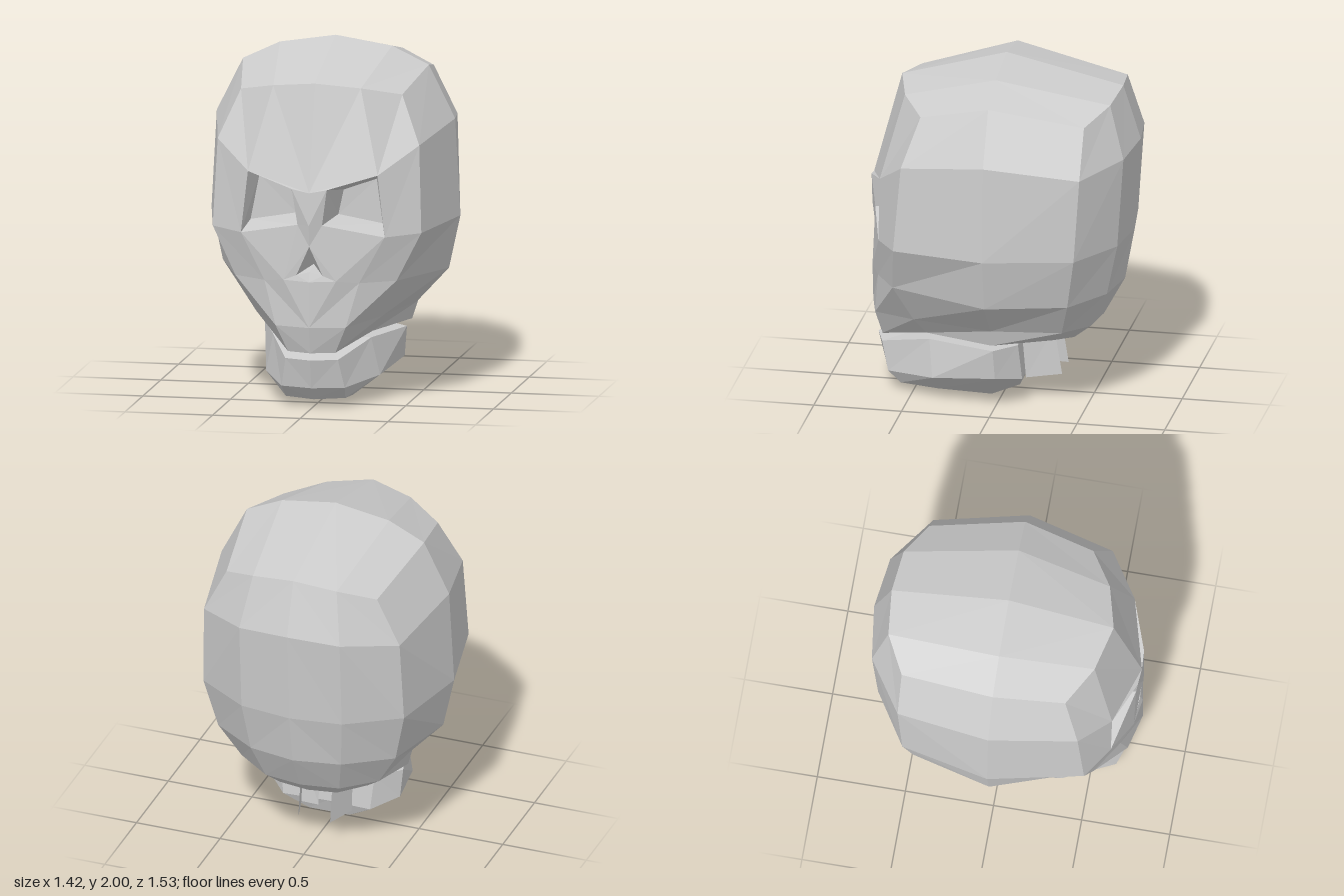
import * as THREE from 'three';

const grey = new THREE.MeshStandardMaterial({ color: 0xcccccc, flatShading: true });
const greyThin = new THREE.MeshStandardMaterial({ color: 0xcccccc, flatShading: true, side: THREE.DoubleSide });

// Mesh from polygons given for the +x half, mirrored to the -x half
function mirroredMesh(name, faces, material = grey) {
  const out = [];
  const flip = ([x, y, z]) => [-x, y, z];
  for (const f of faces) {
    for (let i = 1; i < f.length - 1; i++) {
      out.push(...f[0], ...f[i], ...f[i + 1]);
      out.push(...flip(f[0]), ...flip(f[i + 1]), ...flip(f[i]));
    }
  }
  const geo = new THREE.BufferGeometry();
  geo.setAttribute('position', new THREE.Float32BufferAttribute(out, 3));
  geo.computeVertexNormals();
  const mesh = new THREE.Mesh(geo, material);
  mesh.name = name;
  return mesh;
}

// Quads between a lower and an upper row, both running front to back
function band(low, up) {
  return low.slice(1).map((p, i) => [low[i], p, up[i + 1], up[i]]);
}

// Fan closing a row at a centre point
function cap(row, centre, upward) {
  return row.slice(1).map((p, i) => (upward ? [centre, row[i], p] : [centre, p, row[i]]));
}

function createSkull() {
  // Rows from crown to base: face corner, side, back corner, back, back centre
  const sides = [
    [[0.46, 1.75, 0.4], [0.53, 1.85, 0], [0.45, 1.75, -0.53], [0.25, 1.82, -0.64], [0, 1.85, -0.665]],
    [[0.575, 1.48, 0.49], [0.68, 1.55, 0], [0.585, 1.48, -0.53], [0.3, 1.52, -0.725], [0, 1.54, -0.765]],
    [[0.595, 0.99, 0.53], [0.71, 1, 0], [0.6, 1, -0.5], [0.3, 1, -0.69], [0, 1, -0.73]],
    [[0.46, 0.72, 0.56], [0.645, 0.7, 0], [0.53, 0.7, -0.45], [0.27, 0.7, -0.625], [0, 0.7, -0.675]],
    [[0.36, 0.5, 0.46], [0.46, 0.5, 0], [0.41, 0.5, -0.395], [0.22, 0.48, -0.52], [0, 0.48, -0.555]],
    [[0.29, 0.4, 0.4], [0.435, 0.405, 0], [0.32, 0.42, -0.33], [0.17, 0.39, -0.42], [0, 0.385, -0.44]],
  ];
  const [a, b, c, d, e, f] = sides;
  const faces = [];
  for (let i = 0; i < 5; i++) faces.push(...band(sides[i + 1], sides[i]));

  // Crown with a ridge from side to side
  const top = [0, 2, 0], topSide = [0.32, 1.95, 0];
  const hair = [0, 1.83, 0.595], hairSide = [0.25, 1.8, 0.53];
  faces.push([hair, hairSide, topSide, top], [hairSide, a[0], a[1], topSide],
    [a[2], a[3], topSide, a[1]], [a[3], a[4], top, topSide]);

  // Eye socket: rim and recessed back, inner bottom corner first
  const rim = [[0.07, 1.05, 0.735], [0.41, 0.98, 0.65], [0.37, 1.33, 0.65], [0.1, 1.255, 0.75]];
  const well = [[0.12, 1.08, 0.52], [0.385, 1.03, 0.5], [0.335, 1.285, 0.5], [0.15, 1.22, 0.52]];
  for (let i = 0; i < 4; i++) {
    const j = (i + 1) % 4;
    faces.push([rim[i], rim[j], well[j], well[i]]);
  }
  faces.push(well);

  // Forehead, brow and cheek
  const [inLow, outLow, outTop, inTop] = rim;
  const brow = [0, 1.235, 0.755], bridge = [0, 1.05, 0.765];
  const cheek = [0.27, 0.72, 0.68], lip = [0.15, 0.735, 0.735], lipMid = [0, 0.73, 0.76];
  faces.push([brow, inTop, outTop, hairSide, hair], [outTop, b[0], a[0], hairSide],
    [outLow, c[0], b[0], outTop], [cheek, d[0], c[0], outLow],
    [bridge, inLow, inTop, brow], [lip, cheek, outLow, inLow]);

  // Nose opening
  const noseTop = [0, 0.93, 0.75], noseSide = [0.075, 0.765, 0.74];
  const noseLow = [0, 0.785, 0.745], noseDeep = [0, 0.81, 0.62];
  faces.push([noseTop, inLow, bridge], [noseTop, noseSide, lip, inLow],
    [lipMid, lip, noseSide, noseLow], [noseSide, noseTop, noseDeep], [noseLow, noseSide, noseDeep]);

  // Upper jaw and underside
  const gum = [[0, 0.47, 0.76], [0.2, 0.47, 0.71], e[0]];
  const edge = [[0, 0.32, 0.725], [0.135, 0.32, 0.68], f[0]];
  faces.push([gum[0], gum[1], cheek, lip, lipMid], [gum[1], gum[2], d[0], cheek]);
  faces.push(...band(edge, gum));
  faces.push(...cap([...edge, ...f.slice(1)], [0, 0.42, 0.05], false));
  return mirroredMesh('skull', faces);
}

function createJaw() {
  const rows = [
    [[0, 0.28, 0.73], [0.15, 0.28, 0.68], [0.28, 0.36, 0.385], [0.405, 0.36, 0], [0.28, 0.36, -0.12], [0, 0.36, -0.11]],
    [[0, 0.115, 0.69], [0.18, 0.115, 0.64], [0.325, 0.145, 0.36], [0.39, 0.19, -0.01], [0.26, 0.15, -0.14], [0, 0.15, -0.13]],
    [[0, 0.04, 0.62], [0.17, 0.045, 0.57], [0.17, 0.025, 0.36], [0.13, 0, 0.06], [0.12, 0.065, -0.1], [0, 0.065, -0.1]],
  ];
  return mirroredMesh('lowerJaw', [
    ...band(rows[1], rows[0]), ...band(rows[2], rows[1]),
    ...cap(rows[0], [0, 0.36, 0.36], true), ...cap(rows[2], [0, 0.02, 0.3], false),
  ]);
}

// Thin folded plates under the base of the skull
function createNeck() {
  const low = [[0.04, 0.13, -0.16], [0.15, 0.12, -0.14], [0.095, 0.135, -0.335]];
  const up = [[0.04, 0.41, -0.15], [0.15, 0.41, -0.115], [0.095, 0.41, -0.29]];
  return mirroredMesh('neckPlates', band(low, up), greyThin);
}

export function createModel() {
  const model = new THREE.Group();
  model.name = 'skullModel';
  model.add(createSkull(), createJaw(), createNeck());
  return model;
}
